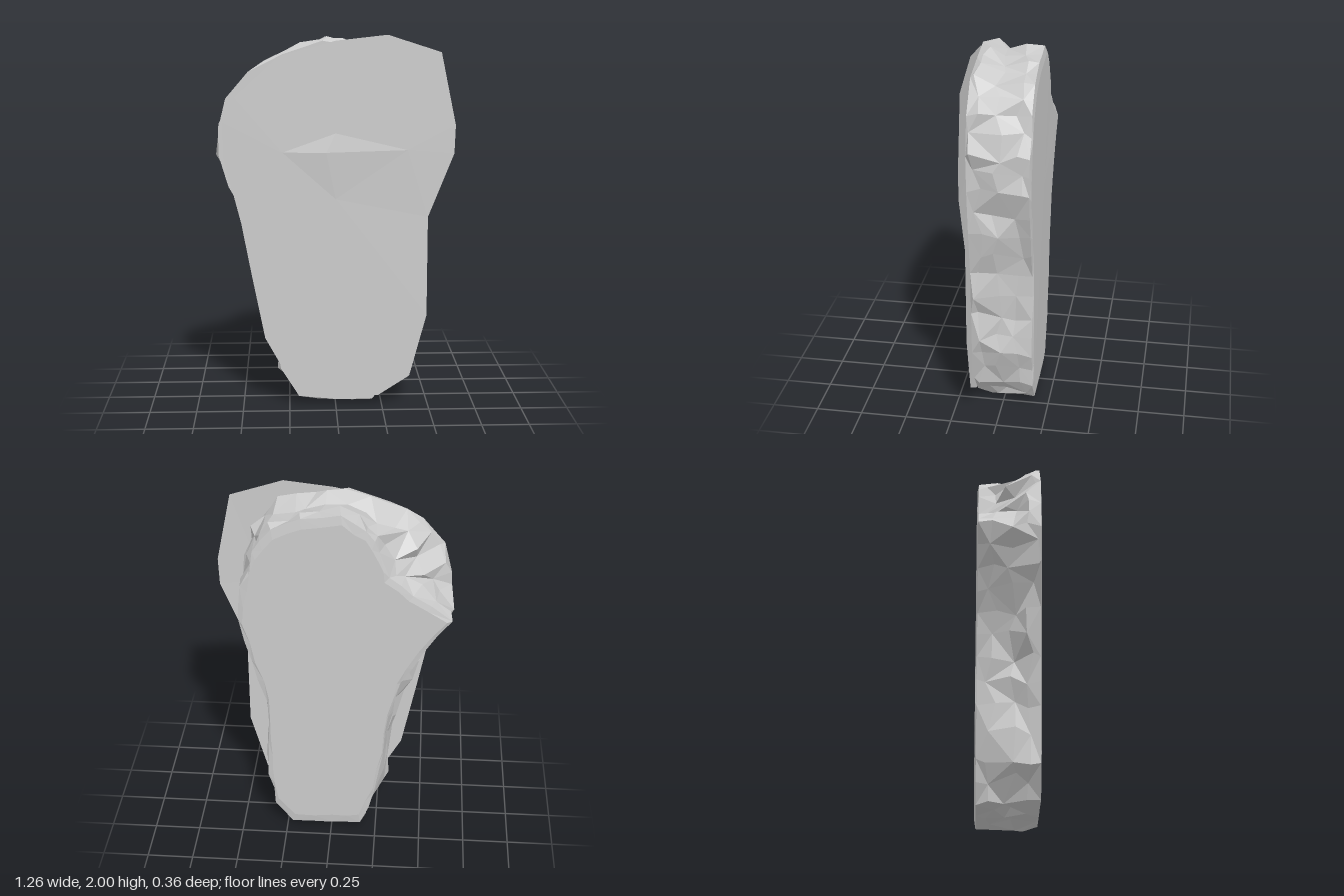
import * as THREE from 'three';

const material = new THREE.MeshStandardMaterial({
  color: 0xcccccc, flatShading: true, side: THREE.DoubleSide,
});

// Small seeded noise in -1..1
let seed = 7;
function noise() {
  seed = (seed * 16807) % 2147483647;
  return (seed / 2147483647) * 2 - 1;
}

// Slab edge, anticlockwise from the bottom: [front x, front y, back x, back y]
const edge = [
  [0, 0.02, 0, 0.03], [0.2, 0.02, 0.22, 0.02], [0.3, 0.15, 0.31, 0.15],
  [0.36, 0.35, 0.35, 0.35], [0.37, 0.6, 0.35, 0.57], [0.38, 0.85, 0.35, 0.85],
  [0.42, 1.1, 0.42, 1.1], [0.45, 1.35, 0.49, 1.35], [0.46, 1.55, 0.46, 1.55],
  [0.42, 1.75, 0.4, 1.75], [0.3, 1.91, 0.31, 1.88], [0.1, 1.95, 0.15, 1.94],
  [-0.07, 1.98, -0.05, 1.97], [-0.28, 1.91, -0.18, 1.88], [-0.46, 1.82, -0.25, 1.77],
  [-0.58, 1.68, -0.29, 1.64], [-0.62, 1.52, -0.42, 1.54], [-0.62, 1.38, -0.62, 1.4],
  [-0.57, 1.21, -0.48, 1.2], [-0.45, 1, -0.37, 1], [-0.38, 0.75, -0.31, 0.78],
  [-0.33, 0.5, -0.29, 0.52], [-0.3, 0.2, -0.24, 0.25], [-0.2, 0.04, -0.17, 0.04],
];

// Outline of the thin front face, anticlockwise from the lower right
const faceOutline = [
  [0.23, 0.05], [0.4, 0.16], [0.49, 0.5], [0.49, 1.04], [0.625, 1.38], [0.63, 1.53],
  [0.55, 1.91], [0.27, 2], [0, 1.97], [-0.3, 1.89], [-0.53, 1.68], [-0.59, 1.55],
  [-0.59, 1.37], [-0.5, 1.01], [-0.45, 0.74], [-0.38, 0.38], [-0.2, 0.05],
];

function buildMesh(name, positions, indices) {
  const geometry = new THREE.BufferGeometry();
  geometry.setAttribute('position', new THREE.Float32BufferAttribute(positions, 3));
  geometry.setIndex(indices);
  const flat = geometry.toNonIndexed();
  flat.computeVertexNormals();
  const mesh = new THREE.Mesh(flat, material);
  mesh.name = name;
  return mesh;
}

// Rough stone body: rings from front to back, chipped by noise, closed by fans
function createBody() {
  const rings = [
    { z: 0.155, blend: 0, size: 0.99, rough: 0 },
    { z: 0.11, blend: 0.1, size: 1.01, rough: 0.02 },
    { z: 0, blend: 0.45, size: 0.985, rough: 0.03 },
    { z: -0.1, blend: 0.85, size: 0.995, rough: 0.024 },
    { z: -0.17, blend: 1, size: 1, rough: 0.01 },
    { z: -0.178, blend: 1, size: 0.95, rough: 0.008 },
  ];
  const cy = 1, count = edge.length * 2;
  const positions = [], indices = [];
  for (const { z, blend, size, rough } of rings) {
    for (let i = 0; i < count; i++) {
      const a = edge[i >> 1], b = edge[((i + 1) >> 1) % edge.length];
      const mix = (k) => THREE.MathUtils.lerp((a[k] + b[k]) / 2, (a[k + 2] + b[k + 2]) / 2, blend);
      const zShift = Math.abs(z) < 0.15 ? noise() * 0.035 : 0;
      const y = cy + (mix(1) - cy) * size + noise() * rough;
      const x = THREE.MathUtils.clamp(mix(0) * size + noise() * rough, -0.635, 0.49);
      positions.push(x, THREE.MathUtils.clamp(y, 0, 1.98), z + zShift);
    }
  }
  for (let r = 0; r < rings.length - 1; r++) {
    for (let i = 0; i < count; i++) {
      const a = r * count + i, b = r * count + (i + 1) % count;
      const c = a + count, d = b + count;
      // Alternate the diagonal for irregular chips
      if ((i + r) % 2) indices.push(a, c, b, b, c, d);
      else indices.push(a, c, d, a, d, b);
    }
  }
  const front = positions.length / 3, back = front + 1;
  positions.push(0, 1.1, 0.155, 0, 1.2, -0.18);
  const last = (rings.length - 1) * count;
  for (let i = 0; i < count; i++) {
    const j = (i + 1) % count;
    indices.push(front, i, j, back, last + j, last + i);
  }
  return buildMesh('stoneBody', positions, indices);
}

// Overhanging front face with a shallow peak
function createFace() {
  const inner = [[0, 1.14], [0.38, 1.4], [0, 1.49], [-0.28, 1.39]];
  const positions = [], indices = [];
  faceOutline.forEach(([x, y]) => positions.push(x, y, 0.157));
  inner.forEach(([x, y]) => positions.push(x, y, 0.165));
  positions.push(-0.05, 1.39, 0.18);
  const n = faceOutline.length, peak = n + inner.length;

  // Inner point facing each outline edge
  const owner = (i) => n + (i < 3 ? 0 : i < 7 ? 1 : i < 10 ? 2 : i < 14 ? 3 : 0);
  for (let i = 0; i < n; i++) {
    const j = (i + 1) % n;
    indices.push(i, j, owner(i));
    if (owner(i) !== owner(j)) indices.push(j, owner(j), owner(i));
  }
  for (let k = 0; k < 4; k++) indices.push(n + k, n + (k + 1) % 4, peak);
  return buildMesh('frontFace', positions, indices);
}

export function createModel() {
  seed = 7;
  const model = new THREE.Group();
  model.name = 'standingStone';
  model.add(createBody(), createFace());
  return model;
}
